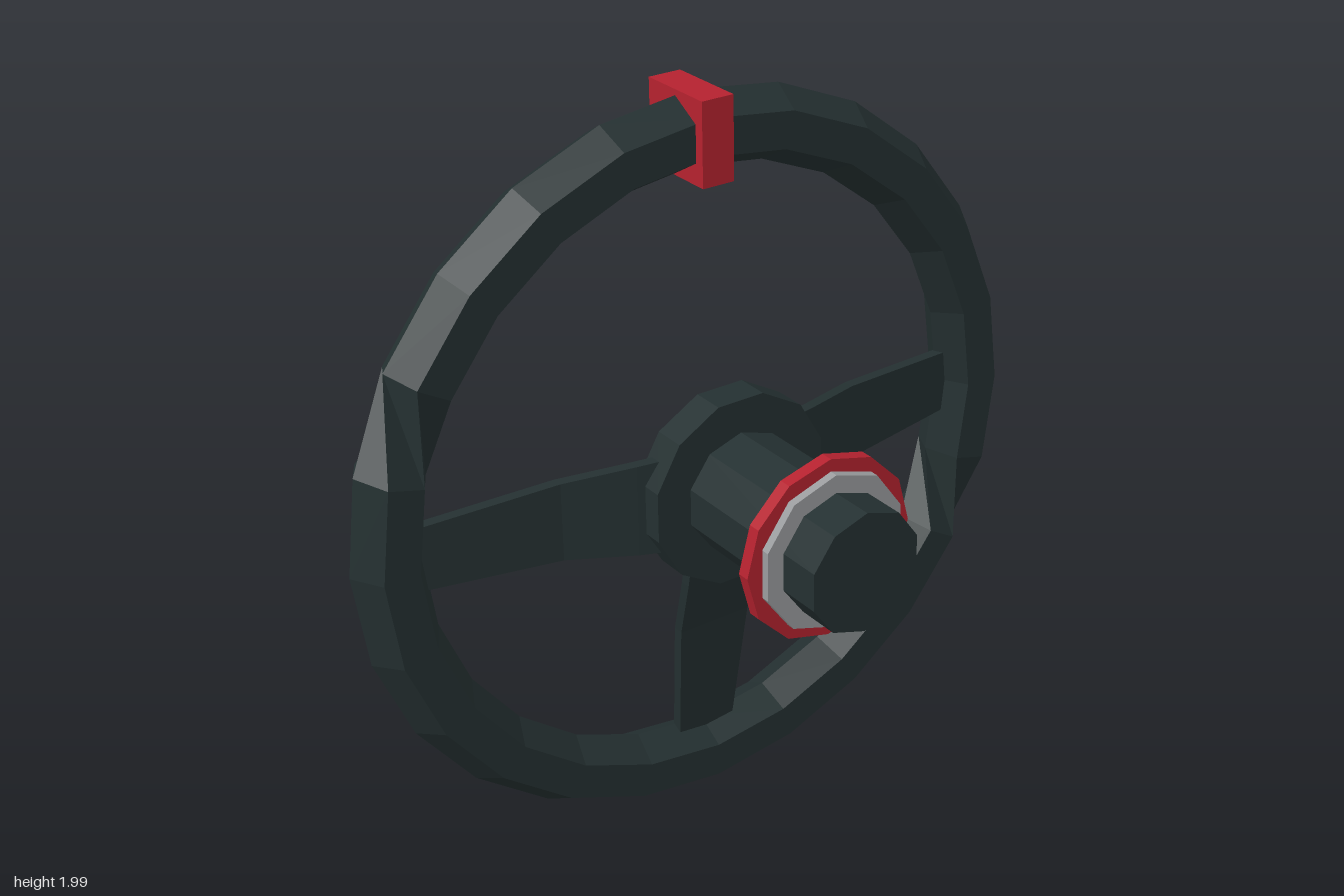
import * as THREE from 'three';

const flat = (name, color) => {
  const m = new THREE.MeshStandardMaterial({ color, flatShading: true });
  m.name = name;
  return m;
};

// Hexagonal ring whose grip is wrung by a third of a turn in two opposite segments
function rimGeometry(radius, tube, segments, sides, twisted) {
  const pos = [], index = [];
  for (let i = 0; i < segments; i++) {
    const t = (i / segments) * Math.PI * 2;
    for (let j = 0; j < sides; j++) {
      const a = (j / sides) * Math.PI * 2;
      const r = radius + tube * Math.cos(a);
      pos.push(r * Math.cos(t), r * Math.sin(t), tube * Math.sin(a));
    }
    const next = (i + 1) % segments, shift = twisted.includes(i) ? 2 : 0;
    for (let j = 0; j < sides; j++) {
      const a = i * sides + j, d = i * sides + (j + 1) % sides;
      const b = next * sides + (j + shift) % sides;
      const c = next * sides + (j + shift + 1) % sides;
      index.push(a, b, d, b, c, d);
    }
  }
  const g = new THREE.BufferGeometry();
  g.setAttribute('position', new THREE.Float32BufferAttribute(pos, 3));
  g.setIndex(index);
  g.computeVertexNormals();
  return g;
}

// Tapering, bent bar along +x; each station is [x, half width, front z]
function spokeGeometry(stations, thickness) {
  const n = stations.length - 1;
  const g = new THREE.BoxGeometry(1, 1, 1, n, 1, 1);
  const p = g.attributes.position;
  for (let i = 0; i < p.count; i++) {
    const [x, w, z] = stations[Math.round((p.getX(i) + 0.5) * n)];
    p.setXYZ(i, x, Math.sign(p.getY(i)) * w, p.getZ(i) > 0 ? z : z - thickness);
  }
  g.computeVertexNormals();
  return g;
}

export function createModel() {
  const model = new THREE.Group();
  const dark = flat('darkGrip', 0x243031);
  const red = flat('redTrim', 0xb5222f);
  const grey = flat('greyMetal', 0x9a9c9e);

  const add = (name, geometry, material, parent = model) => {
    const mesh = new THREE.Mesh(geometry, material);
    mesh.name = name;
    parent.add(mesh);
    return mesh;
  };
  // Prism along z between two depths
  const prism = (radius, z0, z1, sides, turn = 0) =>
    new THREE.CylinderGeometry(radius, radius, z1 - z0, sides, 1, false, turn)
      .rotateX(Math.PI / 2).translate(0, 0, (z0 + z1) / 2);

  // Everything but the clip turns about the wheel axis
  const wheel = new THREE.Group();
  wheel.name = 'wheel';
  wheel.position.y = 1;
  model.add(wheel);

  add('rim', rimGeometry(0.895, 0.096, 24, 6, [10, 22]), dark, wheel).position.z = -0.295;

  // Hub, column and collar
  add('column', prism(0.162, -0.12, 0.4, 10), dark, wheel);
  add('hubPlate', prism(0.26, -0.19, -0.1, 12, Math.PI / 12), dark, wheel);
  add('hubCap', prism(0.185, -0.215, -0.18, 12, Math.PI / 12), dark, wheel);
  add('greyCollar', prism(0.21, 0.205, 0.282, 10), grey, wheel);
  add('redRing', prism(0.243, 0.226, 0.26, 12), red, wheel);

  // Three spokes with bolts on the back
  const bar = spokeGeometry(
    [[0.2, 0.13, -0.14], [0.27, 0.125, -0.16], [0.45, 0.107, -0.225], [0.84, 0.085, -0.275]], 0.03);
  const bolt = prism(0.036, -0.295, -0.26, 6);
  const smallBolt = prism(0.03, -0.262, -0.24, 6);
  [['leftSpoke', 0], ['rightSpoke', Math.PI], ['bottomSpoke', -Math.PI / 2]].forEach(([name, angle]) => {
    const spoke = new THREE.Group();
    spoke.name = name;
    spoke.rotation.z = angle;
    wheel.add(spoke);
    add('spokeBar', bar, dark, spoke);
    add('outerBolt', bolt, dark, spoke).position.x = 0.63;
    add('innerBolt', smallBolt, dark, spoke).position.x = 0.45;
  });

  // Centre marker wrapped round the top of the rim
  add('topClip', new THREE.BoxGeometry(0.09, 0.215, 0.22), red).position.set(0, 1.8925, -0.295);

  return model;
}
